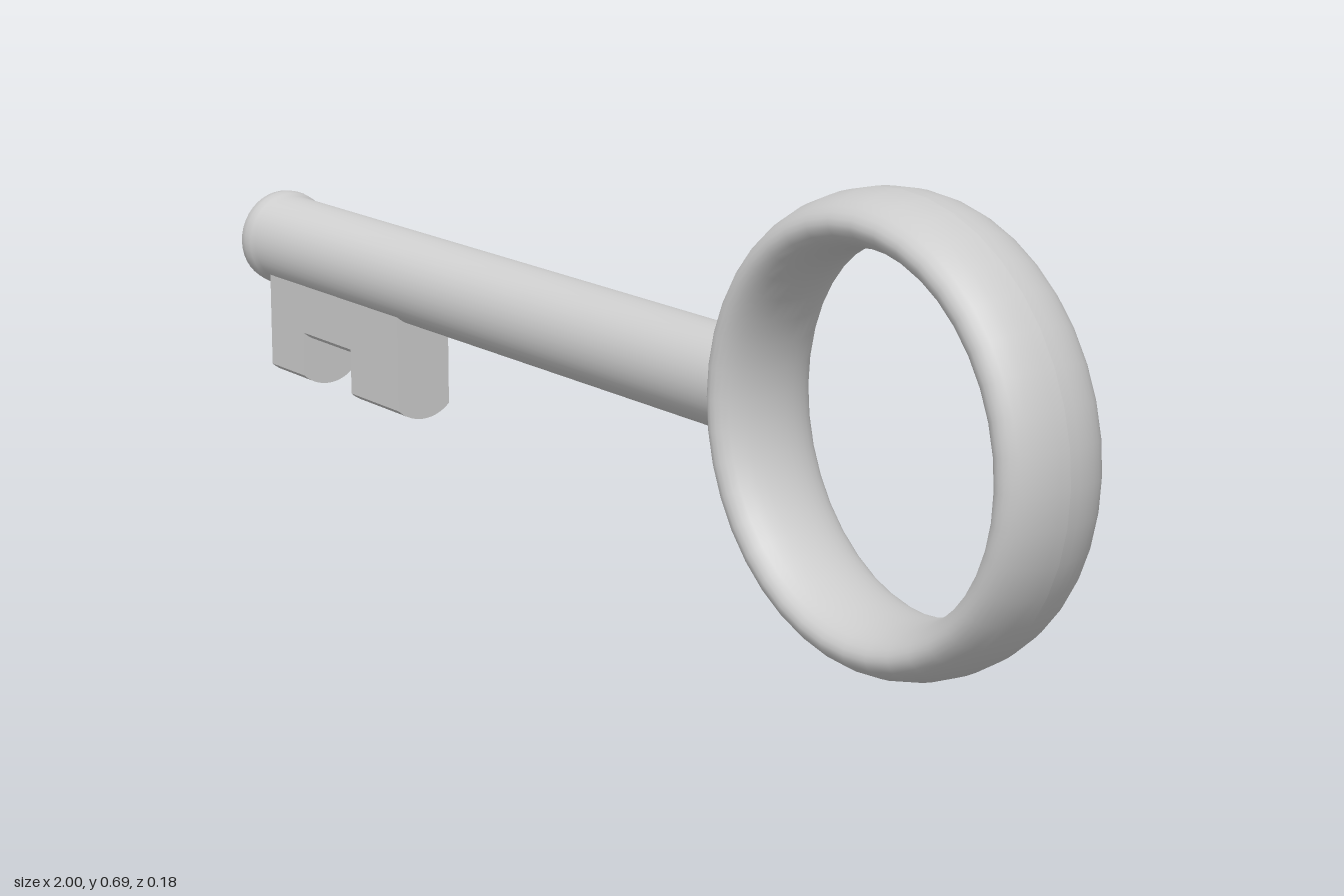
import * as THREE from 'three';
import { toCreasedNormals } from 'three/addons/utils/BufferGeometryUtils.js';

export function createModel() {
  const key = new THREE.Group();
  key.name = 'key';
  const material = new THREE.MeshStandardMaterial({ color: 0xcccccc });
  const axisY = 0.348;

  const add = (name, geometry, x, y) => {
    const mesh = new THREE.Mesh(geometry, material);
    mesh.name = name;
    mesh.position.set(x, y, 0);
    key.add(mesh);
  };

  // Ring handle: an upright oval section swept round the z axis
  const section = [];
  for (let i = 0; i <= 32; i++) {
    const a = (i / 32) * Math.PI * 2;
    section.push(new THREE.Vector2(0.301 + 0.042 * Math.cos(a), 0.088 * Math.sin(a)));
  }
  add('ringHandle', new THREE.LatheGeometry(section, 40).rotateX(Math.PI / 2), 0.657, 0.343);

  // Shaft with a rounded collar and a bored end, turned about the x axis
  const profile = [[0, -0.96], [0.062, -0.96], [0.062, -0.995], [0.068, -1], [0.076, -1],
    [0.081, -0.993], [0.083, -0.978], [0.081, -0.963], [0.076, -0.955], [0.076, 0.36], [0, 0.36]]
    .map(([r, x]) => new THREE.Vector2(r, -x)).reverse();
  const shaft = new THREE.LatheGeometry(profile, 40).rotateZ(Math.PI / 2);
  add('shaft', toCreasedNormals(shaft, 0.7), 0, axisY);

  // Bit: blocks with rounded undersides, the middle one shorter
  const half = 0.05, sag = 0.02;
  const radius = (half * half + sag * sag) / (2 * sag);
  const spread = Math.asin(half / radius);
  const bitBlock = (name, x0, x1, bottom) => {
    const shape = new THREE.Shape();
    shape.moveTo(half, axisY);
    shape.lineTo(-half, axisY);
    shape.absarc(0, bottom + radius, radius, -Math.PI / 2 - spread, -Math.PI / 2 + spread, false);
    shape.closePath();
    const block = new THREE.ExtrudeGeometry(shape, { depth: x1 - x0, bevelEnabled: false, curveSegments: 10 });
    block.rotateY(Math.PI / 2);
    add(name, toCreasedNormals(block, 0.5), x0, 0);
  };
  bitBlock('bitOuterTooth', -0.95, -0.84, 0.11);
  bitBlock('bitBridge', -0.84, -0.685, 0.187);
  bitBlock('bitInnerTooth', -0.685, -0.535, 0.11);

  return key;
}
